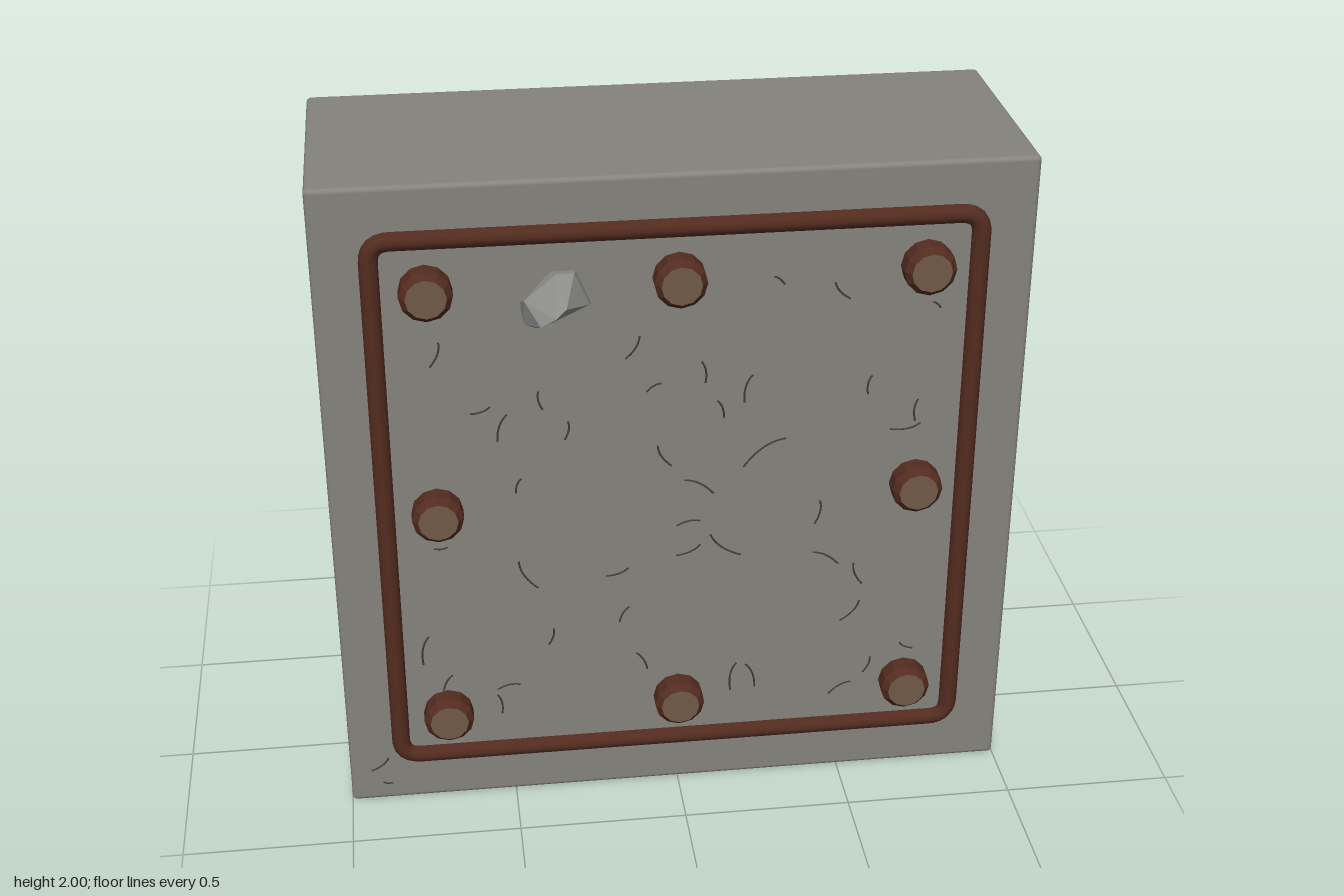
import * as THREE from 'three';
import { RoundedBoxGeometry } from 'three/addons/geometries/RoundedBoxGeometry.js';
import { ConvexGeometry } from 'three/addons/geometries/ConvexGeometry.js';

const FACE = 0.303; // z of the slab's front face

function material(name, color, extra = {}) {
  return new THREE.MeshStandardMaterial({ name, color, ...extra });
}

export function createModel() {
  const group = new THREE.Group();
  const stone = material('stone', 0x85837c);
  const rockGrey = material('rockGrey', 0x8c8c8a, { flatShading: true });
  const rust = material('rust', 0x542c20);
  const boltSide = material('boltRust', 0x542c20, { flatShading: true });
  const boltFace = material('wornMetal', 0x705a48);
  const crackDark = material('crackDark', 0x45433f);

  const add = (name, geometry, mat, parent = group) => {
    const mesh = new THREE.Mesh(geometry, mat);
    mesh.name = name;
    parent.add(mesh);
    return mesh;
  };

  // Slab with slightly softened edges
  add('slab', new RoundedBoxGeometry(2, 2, 0.733, 2, 0.014), stone)
    .position.set(0, 1, FACE - 0.3665);

  // Rounded square frame, half sunk into the face
  const h = 0.842, r = 0.06;
  const path = new THREE.CurvePath();
  const corners = [[1, 1], [-1, 1], [-1, -1], [1, -1]];
  const v = (x, y) => new THREE.Vector3(x, y, 0);
  corners.forEach(([sx, sy], i) => {
    const [nx, ny] = corners[(i + 1) % 4];
    const dx = (nx - sx) / 2, dy = (ny - sy) / 2; // direction of the side
    const a = v(sx * h + dx * r, sy * h + dy * r);
    const b = v(nx * h - dx * r, ny * h - dy * r);
    const c = v(nx * h, ny * h);
    const ex = -dy, ey = dx; // direction after a left turn
    path.add(new THREE.LineCurve3(a, b));
    path.add(new THREE.QuadraticBezierCurve3(b, c, v(c.x + ex * r, c.y + ey * r)));
  });
  add('frame', new THREE.TubeGeometry(path, 400, 0.028, 10, true), rust)
    .position.set(0, 1.003, FACE - 0.001);

  // Eight chamfered bolts with worn faces
  const profile = [[0.074, 0], [0.074, 0.05], [0.057, 0.069]]
    .map(([x, y]) => new THREE.Vector2(x, y));
  const boltGeo = new THREE.LatheGeometry(profile, 12).rotateX(Math.PI / 2);
  const capGeo = new THREE.CircleGeometry(0.057, 12);
  for (let i = -1; i <= 1; i++) for (let j = -1; j <= 1; j++) {
    if (!i && !j) continue;
    const bolt = new THREE.Group();
    bolt.name = 'bolt';
    bolt.position.set(i * 0.694, 1.004 + j * 0.694, FACE);
    add('boltBody', boltGeo, boltSide, bolt);
    add('boltFace', capGeo, boltFace, bolt).position.z = 0.069;
    group.add(bolt);
  }

  // Rock chip stuck to the slab
  const chip = [
    [-0.44, 1.64, 0.29], [-0.35, 1.73, 0.29], [-0.28, 1.73, 0.29], [-0.24, 1.63, 0.29],
    [-0.40, 1.56, 0.29], [-0.43, 1.67, 0.35], [-0.34, 1.74, 0.34], [-0.29, 1.735, 0.33],
    [-0.25, 1.64, 0.33], [-0.39, 1.62, 0.42], [-0.35, 1.65, 0.437], [-0.32, 1.67, 0.42],
    [-0.43, 1.59, 0.33],
  ].map(p => new THREE.Vector3(...p));
  add('rockChip', new ConvexGeometry(chip), rockGrey);

  // Hairline cracks: x, y, angle in degrees, length
  const cracks = [
    [-0.68, 1.50, 70, 0.08], [-0.50, 1.26, 70, 0.09], [-0.56, 1.32, 20, 0.06],
    [-0.39, 1.34, 100, 0.06], [-0.32, 1.24, 80, 0.06], [-0.46, 1.07, 70, 0.05],
    [-0.13, 1.49, 60, 0.08], [-0.07, 1.36, 30, 0.05], [0.07, 1.40, 100, 0.07],
    [0.20, 1.34, 75, 0.09], [0.12, 1.28, 110, 0.06], [-0.04, 1.14, 120, 0.08],
    [0.06, 1.03, 150, 0.10], [0.25, 1.13, 35, 0.15], [0.28, 1.67, 140, 0.04],
    [0.46, 1.63, 130, 0.07], [0.73, 1.57, 140, 0.03], [0.55, 1.33, 80, 0.06],
    [0.66, 1.19, 10, 0.09], [0.69, 1.24, 85, 0.07], [0.41, 0.92, 80, 0.08],
    [0.03, 0.91, 10, 0.07], [0.03, 0.82, 25, 0.08], [0.14, 0.83, 140, 0.12],
    [-0.18, 0.76, 20, 0.07], [-0.44, 0.77, 120, 0.11], [-0.69, 0.88, 5, 0.04],
    [-0.75, 0.53, 78, 0.10], [-0.38, 0.55, 75, 0.06], [-0.16, 0.61, 60, 0.06],
    [0.44, 0.76, 150, 0.09], [0.54, 0.70, 110, 0.08], [0.52, 0.57, 50, 0.09],
    [0.17, 0.36, 80, 0.10], [0.22, 0.36, 110, 0.09],
  ].concat([
    [-0.51, 0.38, 10, 0.07], [-0.54, 0.32, 100, 0.07], [-0.69, 0.41, 60, 0.06],
    [-0.11, 0.44, 120, 0.07], [0.50, 0.29, 30, 0.08], [0.58, 0.37, 70, 0.06],
    [0.70, 0.43, 150, 0.05], [-0.91, 0.13, 40, 0.07], [-0.89, 0.06, 170, 0.03],
  ]);
  cracks.forEach(([x, y, deg, len], i) => {
    const bend = (i % 2 ? 1 : -1) * len * 0.22;
    const curve = new THREE.QuadraticBezierCurve3(
      v(-len / 2, 0), v(0.1 * len, bend), v(len / 2, 0));
    const crack = add('crack', new THREE.TubeGeometry(curve, 8, 0.0028, 4), crackDark);
    crack.position.set(x, y, FACE);
    crack.rotation.z = deg * Math.PI / 180;
  });

  return group;
}
